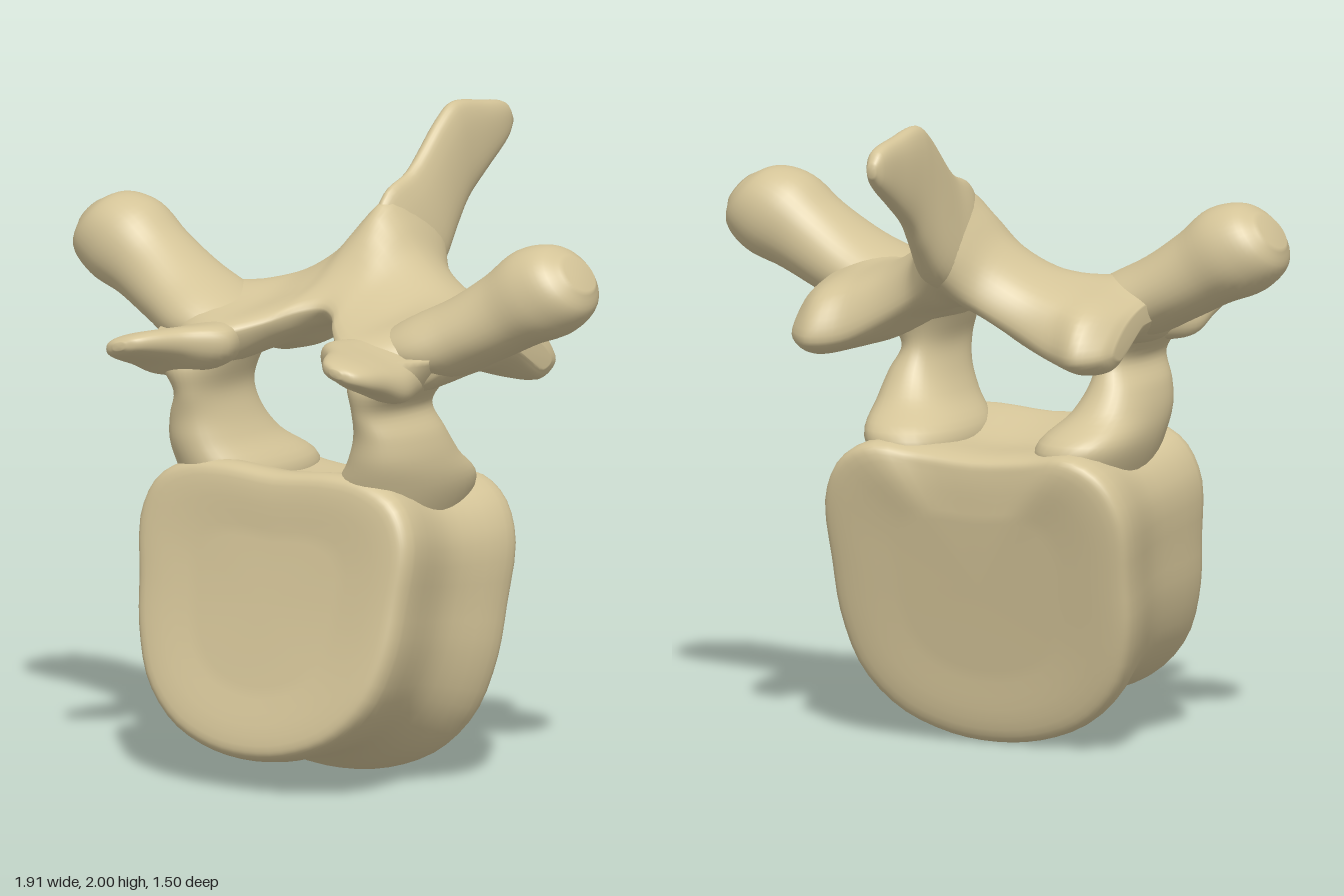
import * as THREE from 'three';

const V = (x, y, z) => new THREE.Vector3(x, y, z);
const lerp = THREE.MathUtils.lerp;
const bone = new THREE.MeshStandardMaterial({ color: 0xd4c498 });
bone.name = 'bone';

// Smooth closed skin through a row of closed rings; side = -1 mirrors it in x
function loft(name, rings, side = 1, around = 40, perSpan = 5) {
  const loops = rings.map((r) => {
    const c = new THREE.CatmullRomCurve3(r, true);
    return Array.from({ length: around }, (_, i) => c.getPoint(i / around));
  });
  const rows = (loops.length - 1) * perSpan + 1;
  const pos = [], idx = [];
  const rails = loops[0].map((_, i) => new THREE.CatmullRomCurve3(loops.map((l) => l[i])));
  for (let j = 0; j < rows; j++) {
    for (const rail of rails) {
      const p = rail.getPoint(j / (rows - 1));
      pos.push(p.x * side, p.y, p.z);
    }
  }
  for (let j = 0; j < rows - 1; j++) {
    for (let i = 0; i < around; i++) {
      const k = (i + 1) % around;
      const a = j * around + i, b = j * around + k;
      idx.push(a, b, b + around, a, b + around, a + around);
    }
  }
  // End caps
  [[loops[0], 0], [loops[loops.length - 1], rows - 1]].forEach(([loop, row], end) => {
    const c = loop.reduce((s, p) => s.add(p), V(0, 0, 0)).divideScalar(around);
    const n = pos.length / 3;
    pos.push(c.x * side, c.y, c.z);
    for (let i = 0; i < around; i++) {
      const a = row * around + i, b = row * around + ((i + 1) % around);
      if (end) idx.push(a, b, n); else idx.push(b, a, n);
    }
  });
  // Turn the faces outward if the enclosed volume is negative
  const at = (i) => V(pos[3 * i], pos[3 * i + 1], pos[3 * i + 2]);
  let volume = 0;
  for (let i = 0; i < idx.length; i += 3) {
    volume += at(idx[i]).dot(at(idx[i + 1]).cross(at(idx[i + 2])));
  }
  if (volume < 0) idx.reverse();
  const g = new THREE.BufferGeometry();
  g.setAttribute('position', new THREE.Float32BufferAttribute(pos, 3));
  g.setIndex(idx);
  g.computeVertexNormals();
  const mesh = new THREE.Mesh(g, bone);
  mesh.name = name;
  return mesh;
}

// Rounded ring spanned by two half axes; power > 2 makes it squarer
function oval(center, u, v, power = 2.3) {
  const round = (t) => Math.sign(t) * Math.pow(Math.abs(t), 2 / power);
  return Array.from({ length: 16 }, (_, i) => {
    const a = (i / 16) * Math.PI * 2;
    return center.clone().addScaledVector(u, round(Math.cos(a))).addScaledVector(v, round(Math.sin(a)));
  });
}

// Drum-shaped body with tilted end faces, rolled rims and a narrower waist
function vertebralBody() {
  const half = [[0.2, 1], [0.345, 0.985], [0.455, 0.92], [0.508, 0.79], [0.495, 0.58],
    [0.475, 0.4], [0.415, 0.22], [0.3, 0.09], [0.15, 0.02]];
  const outline = [[0, 0.985], ...half, [0, 0], ...half.map(([x, h]) => [-x, h]).reverse()];
  const stations = [[0.008, 0.5], [0, 0.9], [0.025, 0.97], [0.1, 1], [0.5, 0.93],
    [0.87, 1], [0.97, 0.98], [1, 0.89], [0.988, 0.5]];
  const rings = stations.map(([t, s]) => outline.map(([x, h]) => {
    const k = 0.5 + (h - 0.5) * s;
    // Shallow dip in the rear upper rim, slight hollow of the front face
    const dip = s > 0.8 && h > 0.95 && Math.abs(x) < 0.3 ? 0.035 * t * t : 0;
    const hollow = 0.025 * (1 - t) * Math.sin(Math.PI * k);
    return V(x * s * (1 + 0.1 * t * (1 - h)),
      lerp(lerp(0.11, -0.005, t), lerp(1, 0.95, t), k) - dip,
      lerp(lerp(0.665, 0.07, t), lerp(0.505, -0.13, t), k) + dip - hollow);
  }));
  return loft('vertebralBody', rings, 1, 64);
}

// Roof over the canal, running out into the lower joint processes.
// Each row: x, then z,y pairs around the section.
function lamina() {
  const rows = [
    [0, 0.2, 1.41, 0.25, 1.46, 0.1, 1.56, -0.1, 1.75, -0.37, 1.68, -0.33, 1.5, -0.12, 1.39, 0.08, 1.39],
    [0.06, 0.24, 1.4, 0.28, 1.45, 0.12, 1.54, -0.09, 1.69, -0.32, 1.6, -0.29, 1.44, -0.12, 1.38, 0.08, 1.38],
    [0.13, 0.33, 1.37, 0.37, 1.42, 0.15, 1.5, -0.08, 1.6, -0.24, 1.53, -0.27, 1.4, -0.12, 1.35, 0.1, 1.35],
    [0.24, 0.42, 1.3, 0.47, 1.39, 0.2, 1.46, -0.05, 1.52, -0.21, 1.46, -0.25, 1.34, -0.14, 1.28, 0.1, 1.3],
    [0.36, 0.4, 1.25, 0.45, 1.38, 0.2, 1.47, 0, 1.48, -0.21, 1.42, -0.26, 1.28, -0.16, 1.24, 0.05, 1.28],
    [0.46, 0.36, 1.28, 0.38, 1.37, 0.2, 1.48, 0, 1.46, -0.23, 1.4, -0.3, 1.27, -0.2, 1.22, 0, 1.28],
    [0.53, 0.28, 1.34, 0.29, 1.38, 0.17, 1.45, 0, 1.43, -0.16, 1.38, -0.25, 1.28, -0.17, 1.235, 0, 1.32],
    [0.555, 0.15, 1.37, 0.16, 1.38, 0.1, 1.41, 0, 1.41, -0.12, 1.36, -0.19, 1.29, -0.15, 1.27, 0, 1.35],
  ];
  const section = (r, s) => Array.from({ length: 8 }, (_, i) => V(r[0] * s, r[2 * i + 2], r[2 * i + 1]));
  const left = rows.slice(1).reverse().map((r) => section(r, -1));
  return loft('lamina', [...left, ...rows.map((r) => section(r, 1))], 1, 48);
}

// Thin blade rising to the rear: top z,y, bottom z,y, half width at top and bottom
function spinousProcess() {
  const rows = [
    [-0.75, 1.92, -0.75, 1.88, 0.015, 0.015],
    [-0.715, 1.96, -0.715, 1.84, 0.032, 0.03],
    [-0.59, 1.985, -0.6, 1.76, 0.043, 0.044],
    [-0.45, 2, -0.5, 1.685, 0.043, 0.053],
    [-0.385, 1.965, -0.43, 1.6, 0.042, 0.062],
    [-0.22, 1.82, -0.33, 1.49, 0.04, 0.09],
    [-0.1, 1.77, -0.22, 1.44, 0.035, 0.1],
    [0, 1.62, -0.1, 1.44, 0.02, 0.06],
  ];
  return loft('spinousProcess', rows.map(([tz, ty, bz, by, wt, wb]) => {
    const up = V(0, (ty - by) / 2, (tz - bz) / 2);
    const ring = oval(V(0, (ty + by) / 2, (tz + bz) / 2), V(1, 0, 0), up, 2.4);
    ring.forEach((p) => {
      p.x *= lerp(wb, wt, (p.y - by) / (ty - by));
    });
    return ring;
  }));
}

// Pillar from the body to the arch, flaring at both ends
function pedicle(side) {
  const rows = [[0.28, 0.8, 0.22, 0.12, 0.22], [0.295, 0.94, 0.21, 0.16, 0.275],
    [0.335, 1.04, 0.285, 0.125, 0.22], [0.345, 1.12, 0.32, 0.097, 0.19],
    [0.335, 1.2, 0.345, 0.072, 0.18], [0.35, 1.28, 0.34, 0.112, 0.2], [0.36, 1.37, 0.29, 0.16, 0.2]];
  return loft('pedicle', rows.map(([x, y, z, a, b]) => oval(V(x, y, z), V(a, 0, 0), V(0, 0, b))), side);
}

// Flat joint plate reaching forward
function upperJointProcess(side) {
  const rows = [[0.408, 1.37, 0.748, 0.02, 0.012], [0.408, 1.368, 0.73, 0.058, 0.026],
    [0.402, 1.362, 0.68, 0.09, 0.04], [0.38, 1.348, 0.59, 0.12, 0.055],
    [0.338, 1.33, 0.49, 0.163, 0.075], [0.335, 1.33, 0.38, 0.135, 0.075], [0.34, 1.34, 0.26, 0.1, 0.07]];
  return loft('upperJointProcess', rows.map(([x, y, z, a, b]) =>
    oval(V(x, y, z), V(a, -0.22 * a, 0), V(0, b, 0), 2.5)), side);
}

// Club-ended arm reaching out and up from a broad root
function transverseProcess(side) {
  const rows = [[0.27, 1.35, 0.21, 0.07, 0.18], [0.42, 1.385, 0.21, 0.115, 0.205],
    [0.55, 1.445, 0.195, 0.12, 0.178], [0.68, 1.52, 0.18, 0.132, 0.153],
    [0.79, 1.585, 0.172, 0.152, 0.15], [0.875, 1.63, 0.17, 0.122, 0.122], [0.915, 1.65, 0.165, 0.06, 0.065]];
  return loft('transverseProcess', rows.map(([x, y, z, a, b]) =>
    oval(V(x, y, z), V(-0.6 * a, 0.8 * a, 0), V(0, 0, b), 2.1)), side);
}

export function createModel() {
  const model = new THREE.Group();
  model.name = 'vertebra';
  model.add(vertebralBody(), lamina(), spinousProcess());
  for (const side of [1, -1]) {
    const half = new THREE.Group();
    half.name = side > 0 ? 'leftProcesses' : 'rightProcesses';
    half.add(pedicle(side), upperJointProcess(side), transverseProcess(side));
    model.add(half);
  }
  return model;
}
